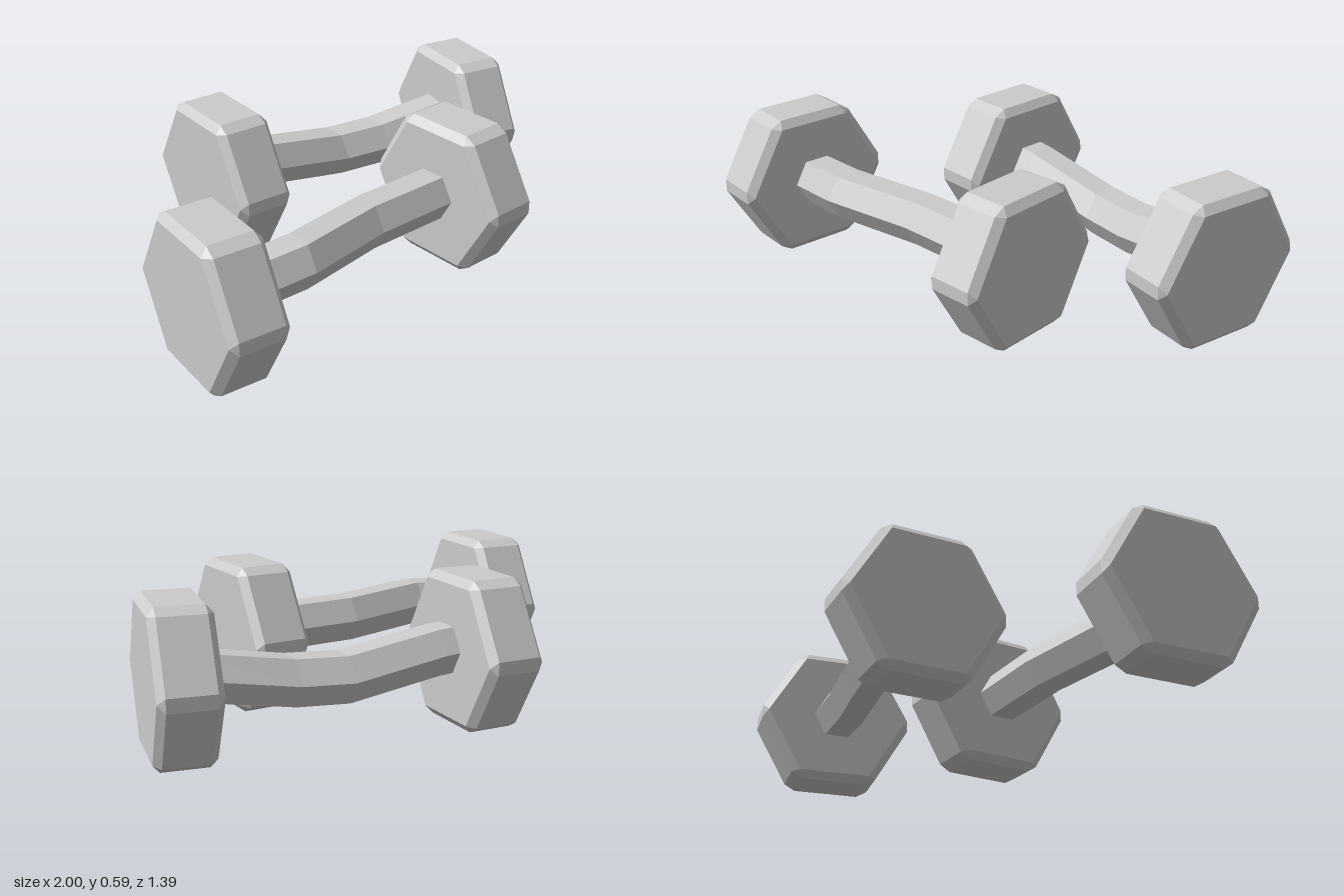
import * as THREE from 'three';
import { ConvexGeometry } from 'three/addons/geometries/ConvexGeometry.js';

const material = new THREE.MeshStandardMaterial({ color: 0xcccccc, flatShading: true });
const CENTRE_Y = 0.293;

// Hexagon corner in the y-z plane, with corners pointing along +z and -z
function hexCorner(x, radius, i) {
  const a = (i * Math.PI) / 3;
  return new THREE.Vector3(x, Math.sin(a) * radius, Math.cos(a) * radius);
}

// Hexagonal weight: sharp hexagon faces, bevelled rims and clipped corners
function weightGeometry() {
  const R = 0.3383, faceR = 0.302, half = 0.115, bevel = 0.027, clip = 0.03;
  const points = [];
  for (const side of [-1, 1]) {
    for (let i = 0; i < 6; i++) {
      points.push(hexCorner(side * half, faceR, i));
      const x = side * (half - bevel);
      const corner = hexCorner(x, R, i);
      for (const step of [-1, 1]) {
        points.push(corner.clone().lerp(hexCorner(x, R, i + step), clip / R));
      }
    }
  }
  return new ConvexGeometry(points);
}

// Six-sided bar swept through the given centres
function handleGeometry(path, radius) {
  const positions = [], index = [];
  for (const [x, y, z] of path) {
    for (let i = 0; i < 6; i++) {
      const p = hexCorner(x, radius, i);
      positions.push(p.x, p.y + y, p.z + z);
    }
  }
  for (let s = 0; s < path.length - 1; s++) {
    for (let i = 0; i < 6; i++) {
      const a = s * 6 + i, b = s * 6 + ((i + 1) % 6);
      index.push(a, a + 6, b, b, a + 6, b + 6);
    }
  }
  // End caps
  const last = (path.length - 1) * 6;
  for (let i = 1; i < 5; i++) {
    index.push(0, i, i + 1, last, last + i + 1, last + i);
  }
  const g = new THREE.BufferGeometry();
  g.setAttribute('position', new THREE.Float32BufferAttribute(positions, 3));
  g.setIndex(index);
  const flat = g.toNonIndexed();
  flat.computeVertexNormals();
  return flat;
}

const weight = weightGeometry();

function dumbbell(name, weights, path) {
  const group = new THREE.Group();
  group.name = name;
  weights.forEach(([x, z, turn], i) => {
    const mesh = new THREE.Mesh(weight, material);
    mesh.name = i === 0 ? 'rightWeight' : 'leftWeight';
    mesh.position.set(x, CENTRE_Y, z);
    mesh.rotation.y = turn;
    group.add(mesh);
  });
  const handle = new THREE.Mesh(handleGeometry(path, 0.104), material);
  handle.name = 'handle';
  group.add(handle);
  return group;
}

export function createModel() {
  const model = new THREE.Group();
  model.name = 'dumbbellPair';
  model.add(
    dumbbell('frontDumbbell',
      [[-0.865, 0.364, -0.07], [0.325, 0.287, 0.045]],
      [[-0.82, 0.294, 0.369], [-0.52, 0.312, 0.39], [-0.14, 0.298, 0.306], [0.27, 0.296, 0.289]]),
    dumbbell('backDumbbell',
      [[-0.329, -0.37, -0.035], [0.833, -0.23, -0.18]],
      [[-0.27, 0.31, -0.366], [-0.15, 0.301, -0.361], [0.22, 0.243, -0.342],
        [0.42, 0.248, -0.305], [0.79, 0.303, -0.237]])
  );
  return model;
}
